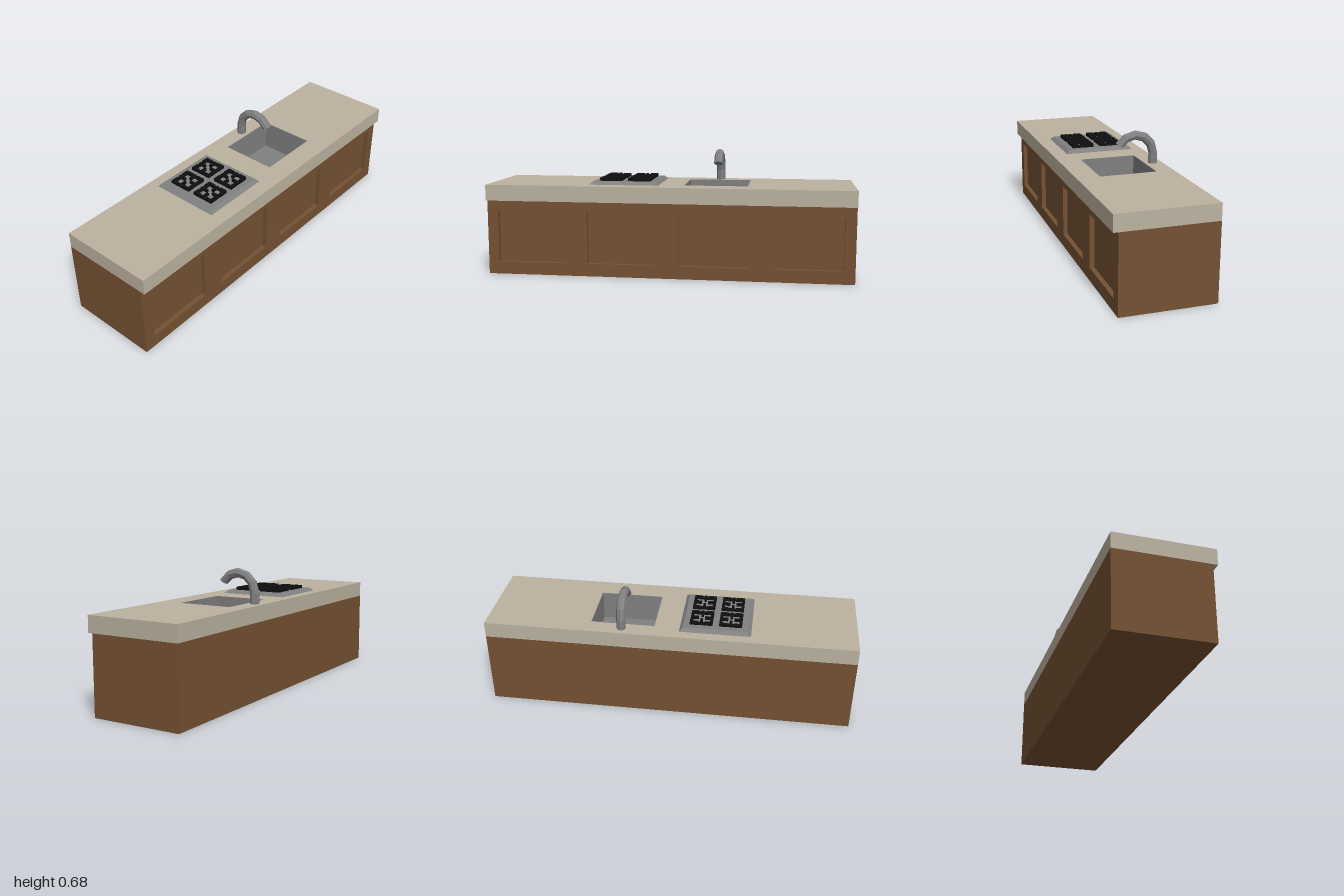
import * as THREE from 'three';

const material = (name, color) => {
  const m = new THREE.MeshStandardMaterial({ color });
  m.name = name;
  return m;
};

export function createModel() {
  const root = new THREE.Group();
  root.name = 'kitchenIsland';
  const wood = material('brown wood', 0x755133);
  const stone = material('beige stone', 0xbcb29f);
  const steel = material('grey steel', 0x808080);
  steel.flatShading = true;
  const iron = material('black iron', 0x101010);

  const add = (parent, name, geometry, mat) => {
    const mesh = new THREE.Mesh(geometry, mat);
    mesh.name = name;
    parent.add(mesh);
    return mesh;
  };
  // Box given by its minimum and maximum corners
  const box = (parent, name, mat, [x0, y0, z0], [x1, y1, z1]) => {
    const g = new THREE.BoxGeometry(x1 - x0, y1 - y0, z1 - z0);
    g.translate((x0 + x1) / 2, (y0 + y1) / 2, (z0 + z1) / 2);
    return add(parent, name, g, mat);
  };
  const rect = (path, x0, y0, x1, y1) => {
    path.moveTo(x0, y0);
    path.lineTo(x1, y0);
    path.lineTo(x1, y1);
    path.lineTo(x0, y1);
    path.closePath();
    return path;
  };

  // Cabinet: hollow carcass, so the sink can drop into it
  const cabinet = new THREE.Group();
  cabinet.name = 'cabinet';
  root.add(cabinet);
  const back = -0.263, front = 0.237, recess = 0.025, top = 0.413;
  const inner = front - recess;
  box(cabinet, 'cabinetBottom', wood, [back, 0, -1], [inner, 0.02, 1]);
  box(cabinet, 'backPanel', wood, [back, 0.02, -1], [back + 0.02, top, 1]);
  box(cabinet, 'recessedPanels', wood, [inner - 0.02, 0.02, -1], [inner, top, 1]);
  for (const s of [-1, 1]) {
    box(cabinet, 'endPanel', wood,
      [back + 0.02, 0.02, Math.min(s, s * 0.98)], [inner - 0.02, top, Math.max(s, s * 0.98)]);
  }
  // Front frame with four openings
  const frame = rect(new THREE.Shape(), -1, 0, 1, top);
  for (let i = 0; i < 4; i++) {
    const c = -0.752 + i * 0.5013;
    frame.holes.push(rect(new THREE.Path(), c - 0.188, 0.07, c + 0.188, 0.354));
  }
  const frameGeo = new THREE.ExtrudeGeometry(frame, { depth: recess, bevelEnabled: false });
  frameGeo.rotateY(Math.PI / 2);
  frameGeo.translate(inner, 0, 0);
  add(cabinet, 'frontFrame', frameGeo, wood);

  // Countertop with a cut-out for the sink (shape y is -z)
  const sx0 = -0.165, sx1 = 0.135, sz0 = -0.425, sz1 = -0.085, t = 0.004;
  const slab = rect(new THREE.Shape(), back, -1, 0.262, 1);
  slab.holes.push(rect(new THREE.Path(), sx0 - t, -sz1 - t, sx1 + t, -sz0 + t));
  const slabGeo = new THREE.ExtrudeGeometry(slab, { depth: 0.5 - top, bevelEnabled: false });
  slabGeo.rotateX(-Math.PI / 2);
  slabGeo.translate(0, top, 0);
  add(root, 'countertop', slabGeo, stone);

  // Sink basin
  const sink = new THREE.Group();
  sink.name = 'sink';
  root.add(sink);
  const floor = 0.34;
  box(sink, 'sinkFloor', steel, [sx0 - t, floor - t, sz0 - t], [sx1 + t, floor, sz1 + t]);
  box(sink, 'sinkWall', steel, [sx0 - t, floor, sz0 - t], [sx0, 0.5, sz1 + t]);
  box(sink, 'sinkWall', steel, [sx1, floor, sz0 - t], [sx1 + t, 0.5, sz1 + t]);
  box(sink, 'sinkWall', steel, [sx0, floor, sz0 - t], [sx1, 0.5, sz0]);
  box(sink, 'sinkWall', steel, [sx0, floor, sz1], [sx1, 0.5, sz1 + t]);

  // Faucet: straight pipe, curved spout and end face
  const faucet = new THREE.Group();
  faucet.name = 'faucet';
  faucet.position.set(-0.111, 0.557, -0.255);
  root.add(faucet);
  const bend = 0.101, pipe = 0.025, end = Math.PI / 6;
  add(faucet, 'faucetPipe', new THREE.CylinderGeometry(pipe, pipe, 0.057, 8), steel)
    .position.set(-bend, -0.0285, 0);
  const spout = new THREE.TorusGeometry(bend, pipe, 8, 5, Math.PI - end);
  spout.rotateZ(end);
  add(faucet, 'faucetSpout', spout, steel);
  const cap = new THREE.CircleGeometry(pipe, 8);
  cap.rotateX(Math.PI / 2);
  cap.translate(bend, 0, 0);
  cap.rotateZ(end);
  add(faucet, 'spoutEnd', cap, steel);

  // Cooktop: slab with sloping edges
  const cooktop = new THREE.Group();
  cooktop.name = 'cooktop';
  root.add(cooktop);
  const plate = new THREE.BoxGeometry(0.384, 0.017, 0.384);
  const p = plate.attributes.position;
  for (let i = 0; i < p.count; i++) {
    if (p.getY(i) > 0) p.setXYZ(i, p.getX(i) * 0.9, p.getY(i), p.getZ(i) * 0.9);
  }
  plate.computeVertexNormals();
  plate.translate(-0.014, 0.5085, 0.247);
  add(cooktop, 'cooktopPlate', plate, steel);

  // Burner grates: raised corners, lower side bars and inward prongs
  const h = 0.061, w = 0.015, gap = 0.018;
  for (const x of [-0.0925, 0.067]) {
    for (const z of [0.168, 0.326]) {
      const grate = new THREE.Group();
      grate.name = 'burnerGrate';
      grate.position.set(x, 0.517, z);
      cooktop.add(grate);
      for (let k = 0; k < 4; k++) {
        const side = new THREE.Group();
        side.name = 'grateSide';
        side.rotation.y = k * Math.PI / 2;
        grate.add(side);
        box(side, 'cornerBar', iron, [-h, 0, h - w], [-gap, 0.017, h]);
        box(side, 'cornerBar', iron, [gap, 0, h - w], [h - w, 0.017, h]);
        box(side, 'lowBar', iron, [-gap, 0, h - w], [gap, 0.013, h - 0.001]);
        box(side, 'prong', iron, [-0.0065, 0.002, 0.017], [0.0065, 0.017, h]);
      }
    }
  }
  return root;
}
